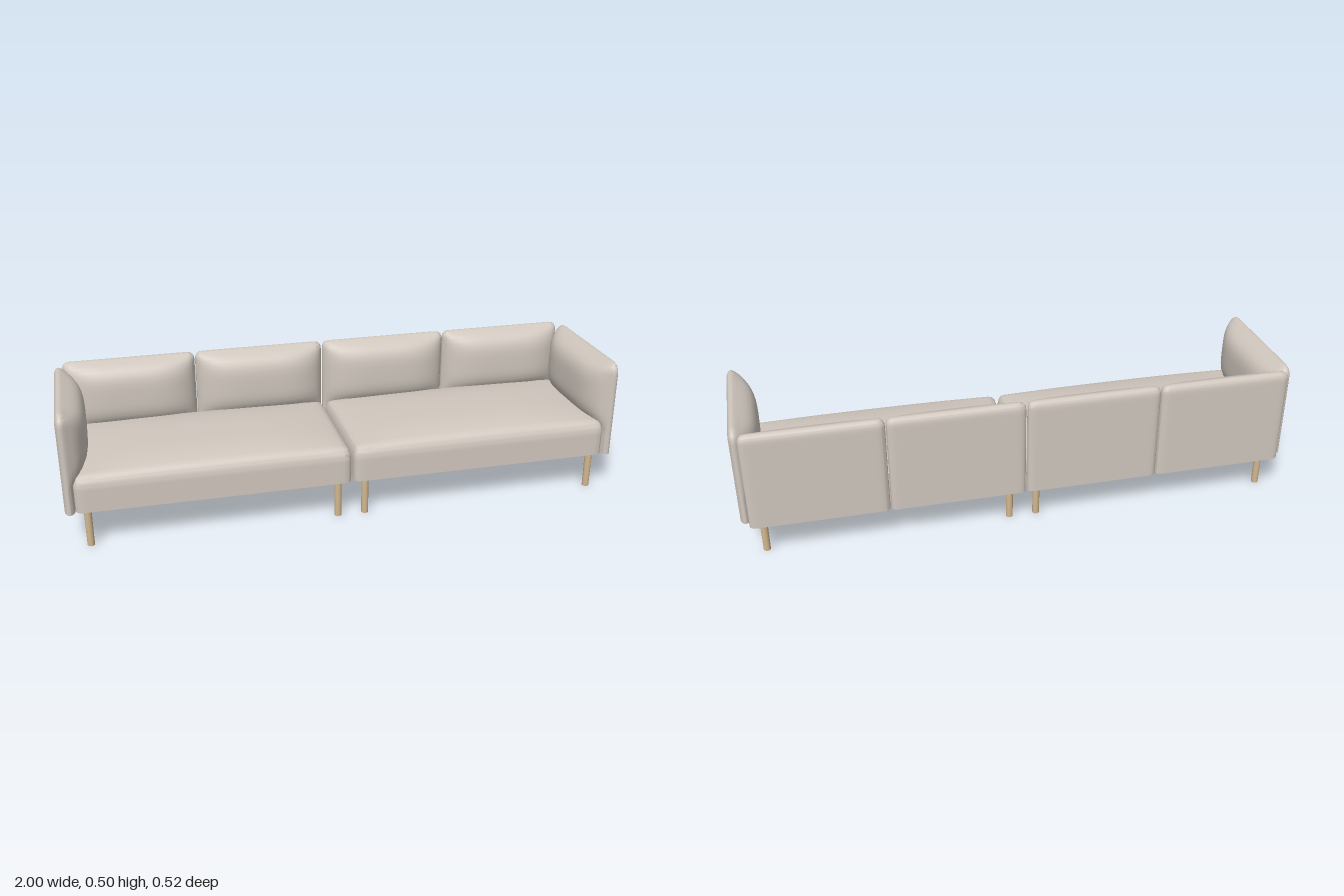
import * as THREE from 'three';
import { toCreasedNormals } from 'three/addons/utils/BufferGeometryUtils.js';

const fabric = new THREE.MeshStandardMaterial({ color: 0xd0c7be });
fabric.name = 'warm grey fabric';
const wood = new THREE.MeshStandardMaterial({ color: 0xd2b78f });
wood.name = 'pale wood';

// Upholstered block between corners min and max: flat underside, other edges rounded
// by the radii in round, and the face at (axis, sign) swollen above height swellFrom.
function cushion(name, { min, max, round, axis, sign, swell, power, swellFrom = min[1] }) {
  const size = max.map((v, i) => v - min[i]);
  const segments = size.map((s) => (s < 0.06 ? 8 : 26));
  const geometry = new THREE.BoxGeometry(2, 2, 2, ...segments);
  const position = geometry.attributes.position;
  const faceAxes = [0, 1, 2].filter((i) => i !== axis);

  for (let v = 0; v < position.count; v++) {
    // crowd the grid towards the edges
    const p = [position.getX(v), position.getY(v), position.getZ(v)].map(
      (u, i) => min[i] + (size[i] * (1 + Math.sin((u * Math.PI) / 2))) / 2);

    // elliptical rounding, leaving the underside flat
    const core = p.map((c, i) =>
      THREE.MathUtils.clamp(c, min[i] + (i === 1 ? 0 : round[i]), max[i] - round[i]));
    const offset = p.map((c, i) => (c - core[i]) / round[i]);
    const length = Math.hypot(...offset);
    const q = core.map((c, i) => c + (length > 1e-6 ? (offset[i] / length) * round[i] : 0));

    // stuffing
    const middle = (min[axis] + max[axis]) / 2;
    let amount = Math.max(0, (sign * (q[axis] - middle)) / (size[axis] / 2));
    for (const i of faceAxes) {
      const low = i === 1 ? swellFrom : min[i];
      const u = Math.min(1, Math.abs((2 * (q[i] - low)) / (max[i] - low) - 1));
      amount *= 1 - u ** power;
    }
    q[axis] += sign * swell * amount;
    position.setXYZ(v, ...q);
  }
  const mesh = new THREE.Mesh(toCreasedNormals(geometry, 0.9), fabric);
  mesh.name = name;
  return mesh;
}

// Swap and negate the x limits for the right half
const span = (side, a, b) => (side > 0 ? [a, b] : [-b, -a]);

export function createModel() {
  const sofa = new THREE.Group();
  sofa.name = 'sofa';
  const bottom = 0.14;
  const top = 0.5;

  for (const side of [1, -1]) {
    const label = side > 0 ? 'left' : 'right';

    // seat
    const [s0, s1] = span(side, 0.004, 0.964);
    sofa.add(cushion(label + 'Seat', {
      min: [s0, bottom, -0.22], max: [s1, 0.268, 0.254],
      round: [0.022, 0.045, 0.028], axis: 1, sign: 1, swell: 0.028, power: 3,
    }));

    // arm, swollen towards the seat
    const [a0, a1] = span(side, 0.963, 1);
    sofa.add(cushion(label + 'Arm', {
      min: [a0, bottom, -0.226], max: [a1, top, 0.262],
      round: [0.018, 0.04, 0.04], axis: 0, sign: -side, swell: 0.063, power: 4, swellFrom: 0.24,
    }));

    // two back cushions, swollen forwards
    [[0.002, 0.486, 'Inner'], [0.488, 0.97, 'Outer']].forEach(([from, to, place]) => {
      const [b0, b1] = span(side, from, to);
      sofa.add(cushion(label + place + 'Back', {
        min: [b0, bottom, -0.262], max: [b1, top, -0.224],
        round: [0.024, 0.028, 0.019], axis: 2, sign: 1, swell: 0.06, power: 4, swellFrom: 0.24,
      }));
    });

    // legs
    for (const x of [0.05, 0.925]) {
      for (const z of [0.224, -0.193]) {
        const leg = new THREE.Mesh(new THREE.CylinderGeometry(0.013, 0.0125, bottom + 0.004, 24), wood);
        leg.name = label + (z > 0 ? 'Front' : 'Back') + (x > 0.5 ? 'Outer' : 'Inner') + 'Leg';
        leg.position.set(side * x, (bottom + 0.004) / 2, z);
        sofa.add(leg);
      }
    }
  }
  return sofa;
}
